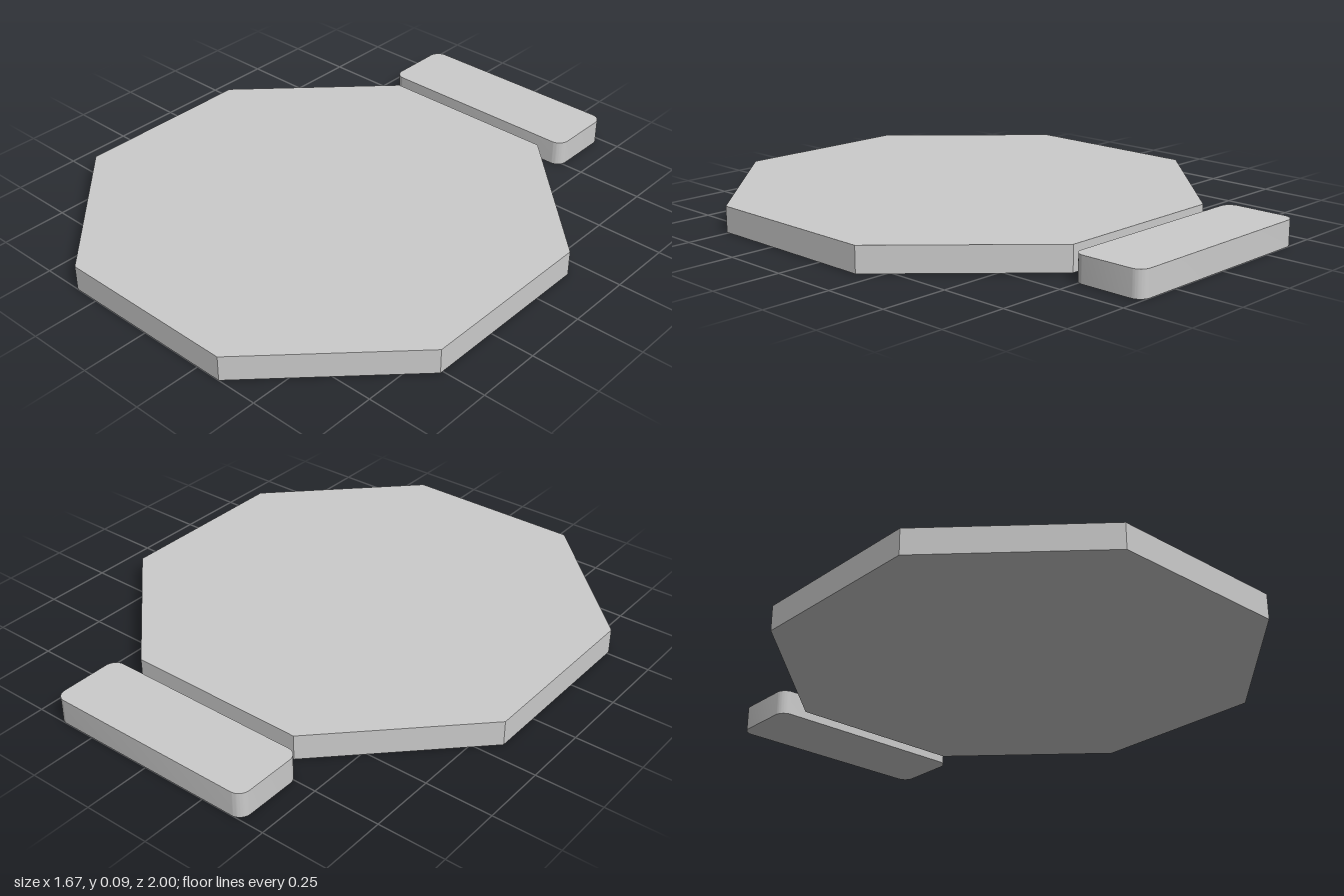
import * as THREE from 'three';
import { toCreasedNormals } from 'three/addons/utils/BufferGeometryUtils.js';

const HEIGHT = 0.095;

// Rectangle with rounded corners, centred on the origin
function roundedRect(width, depth, r) {
  const x = width / 2, y = depth / 2;
  const shape = new THREE.Shape();
  shape.absarc(x - r, y - r, r, 0, Math.PI / 2);
  shape.absarc(-x + r, y - r, r, Math.PI / 2, Math.PI);
  shape.absarc(-x + r, -y + r, r, Math.PI, Math.PI * 1.5);
  shape.absarc(x - r, -y + r, r, Math.PI * 1.5, Math.PI * 2);
  shape.closePath();
  return shape;
}

export function createModel() {
  const group = new THREE.Group();

  // Octagonal plate, flat sides facing the axes
  const apothem = 0.835;
  const radius = apothem / Math.cos(Math.PI / 8);
  const plate = new THREE.Mesh(
    new THREE.CylinderGeometry(radius, radius, HEIGHT, 8).rotateY(Math.PI / 8),
    new THREE.MeshStandardMaterial({ color: 0xcccccc, flatShading: true })
  );
  plate.name = 'octagonPlate';
  plate.position.set(0, HEIGHT / 2, 1 - apothem);
  group.add(plate);

  // Separate bar with rounded corners behind the plate
  const barDepth = 0.273;
  const barGeometry = new THREE.ExtrudeGeometry(roundedRect(0.83, barDepth, 0.042), {
    depth: HEIGHT, bevelEnabled: false, curveSegments: 8,
  }).rotateX(-Math.PI / 2);
  const bar = new THREE.Mesh(
    toCreasedNormals(barGeometry, 0.6),
    new THREE.MeshStandardMaterial({ color: 0xcccccc })
  );
  bar.name = 'rearBar';
  bar.position.z = -1 + barDepth / 2;
  group.add(bar);

  return group;
}
